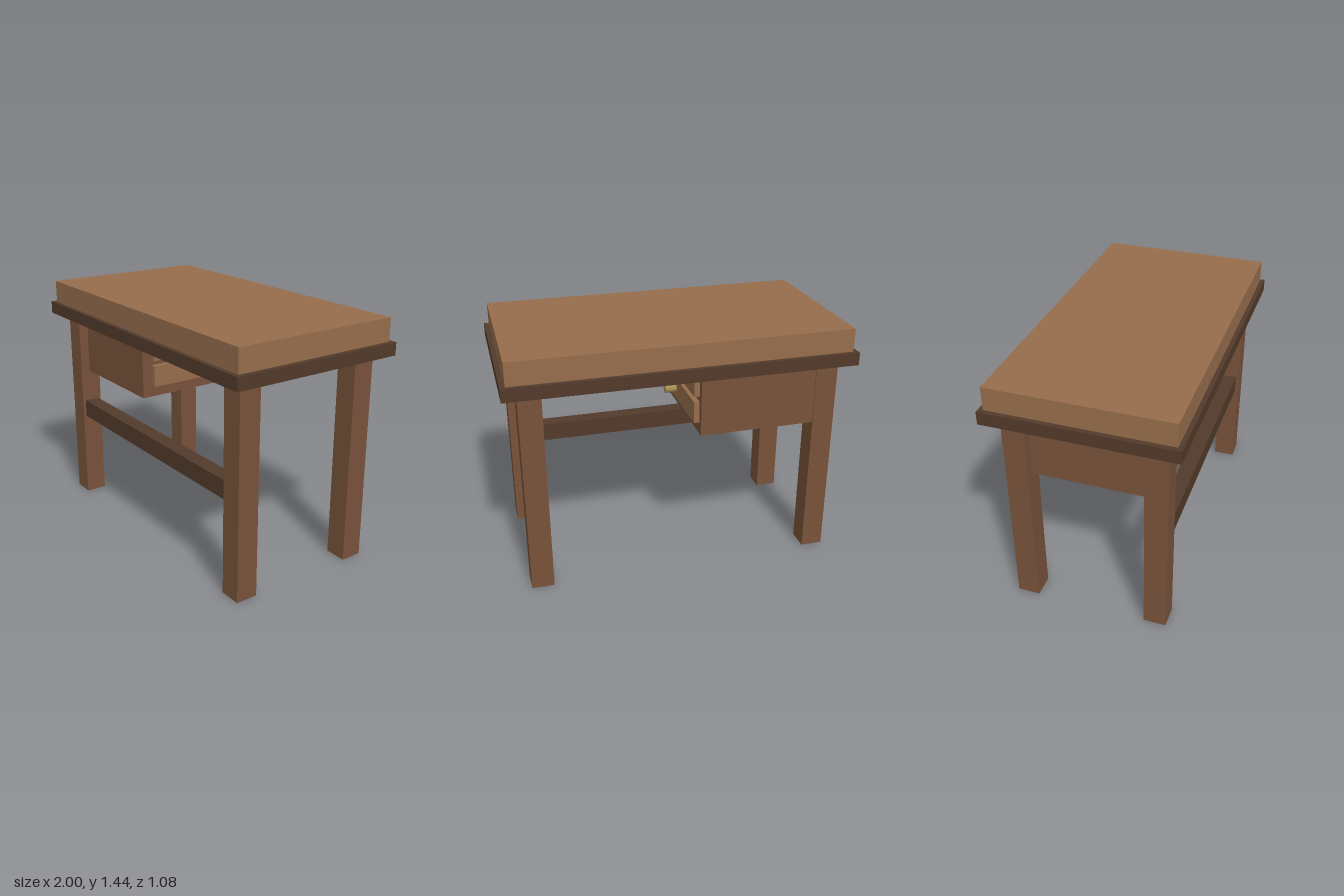
import * as THREE from 'three';

const material = (color) => new THREE.MeshStandardMaterial({ color });

export function createModel() {
  const desk = new THREE.Group();
  desk.name = 'desk';
  const lightWood = material(0x966d4b);
  const midWood = material(0x78523a);
  const darkWood = material(0x523a2a);
  const brass = material(0xa58a52);

  // Box given by its [min, max] range on each axis
  const box = (name, mat, [x0, x1], [y0, y1], [z0, z1]) => {
    const mesh = new THREE.Mesh(new THREE.BoxGeometry(x1 - x0, y1 - y0, z1 - z0), mat);
    mesh.position.set((x0 + x1) / 2, (y0 + y1) / 2, (z0 + z1) / 2);
    mesh.name = name;
    desk.add(mesh);
  };

  // Table top: dark rim under a thick light slab
  box('topRim', darkWood, [-1, 1], [1.23, 1.305], [-0.538, 0.538]);
  box('topSlab', lightWood, [-0.972, 0.972], [1.305, 1.44], [-0.512, 0.512]);

  // Four square legs
  const legSize = 0.13;
  for (const [side, x] of [['Left', 0.85], ['Right', -0.85]]) {
    for (const [end, z] of [['front', 0.39], ['back', -0.39]]) {
      box(`${end}${side}Leg`, midWood, [x - legSize / 2, x + legSize / 2], [0, 1.23],
        [z - legSize / 2, z + legSize / 2]);
    }
  }

  // Stretcher between the front legs
  box('frontStretcher', darkWood, [-0.785, 0.785], [0.55, 0.66], [0.345, 0.437]);

  // Drawer cabinet, opening sideways toward the knee space
  box('drawerCabinet', midWood, [-0.855, -0.1], [0.86, 1.23], [-0.45, 0.396]);

  // Two drawers, each with a round knob
  const drawerZ = -0.04;
  for (const [name, y] of [['upper', 1.152], ['lower', 0.992]]) {
    box(`${name}Drawer`, lightWood, [-0.1, -0.068], [y - 0.064, y + 0.064],
      [drawerZ - 0.375, drawerZ + 0.375]);
    const knob = new THREE.Mesh(new THREE.CylinderGeometry(0.025, 0.025, 0.07, 20), brass);
    knob.rotation.z = -Math.PI / 2;
    knob.position.set(-0.035, y, drawerZ);
    knob.name = `${name}Knob`;
    desk.add(knob);
  }

  return desk;
}
